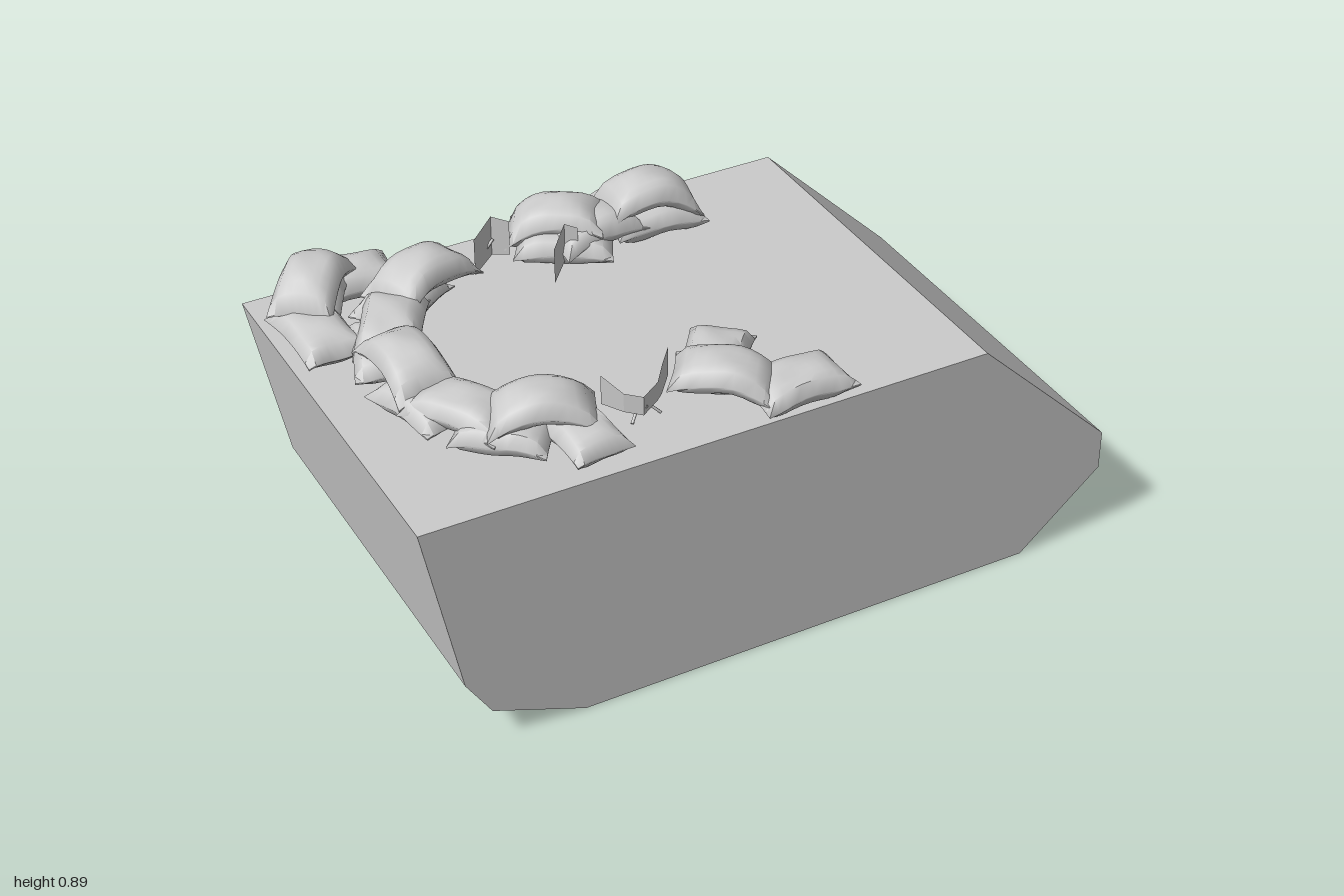
import * as THREE from 'three';
import { toCreasedNormals } from 'three/addons/utils/BufferGeometryUtils.js';

const DECK = 0.715;
const grey = new THREE.MeshStandardMaterial({ color: 0xcccccc });
const greyThin = new THREE.MeshStandardMaterial({ color: 0xcccccc, side: THREE.DoubleSide });

// Solid block with chamfered ends, extruded across z
function makeHull() {
  const profile = [[-1, DECK], [-0.9, 0.21], [-0.83, 0.1], [-0.57, 0],
    [0.76, 0], [1, 0.21], [1, 0.325], [0.6, DECK]];
  const shape = new THREE.Shape(profile.map(([x, y]) => new THREE.Vector2(x, y)));
  const geo = new THREE.ExtrudeGeometry(shape, { depth: 1.13, bevelEnabled: false });
  geo.translate(0, 0, -0.575);
  const mesh = new THREE.Mesh(geo, grey);
  mesh.name = 'hull';
  return mesh;
}

// Pillow: a flattened box, fat in the middle, pinched at the seams and arched by sag
function bagGeometry(length, width, sag, seed) {
  const geo = new THREE.BoxGeometry(2, 2, 2, 10, 1, 8);
  const p = geo.attributes.position;
  for (let i = 0; i < p.count; i++) {
    const u = p.getX(i), side = p.getY(i), v = p.getZ(i);
    const puff = Math.sqrt(1 - u ** 4) * Math.sqrt(1 - v ** 4);
    const wrinkle = 0.004 * Math.sin(5 * u + seed * 2.1) * Math.cos(4 * v + seed);
    const flare = 0.93 + 0.07 * u * u;                // corners stick out as ears
    p.setXYZ(i,
      u * length / 2 * (0.96 + 0.04 * v * v),
      side * (0.002 + 0.0375 * puff) + wrinkle - sag * (u * u + 0.25 * v * v),
      v * width / 2 * flare);
  }
  return geo;
}

// Places a bag turned about y; higher bags drape more, and none sinks into the deck
function makeBag(name, x, y, z, turn, pitch = 0, length = 0.27, width = 0.175) {
  const sag = THREE.MathUtils.clamp((y - 0.745) * 0.52, 0.01, 0.055);
  const geo = bagGeometry(length, width, sag, 10 * (x + z));
  geo.rotateZ(pitch);
  geo.rotateY(turn);
  geo.translate(x, y, z);
  const p = geo.attributes.position;
  for (let k = 0; k < p.count; k++) p.setY(k, Math.max(p.getY(k), DECK + 0.004));
  const mesh = new THREE.Mesh(toCreasedNormals(geo, 0.8), grey);
  mesh.name = name;
  return mesh;
}

// Curved breastwork: two courses of bags along an elliptical arc open towards +x
function makeRing() {
  const group = new THREE.Group();
  group.name = 'breastwork';
  const lay = (name, angle, y, scale, length) => {
    const rx = 0.29 * scale, rz = 0.36 * scale;
    const turn = Math.atan2(-rz * Math.cos(angle), rx * Math.sin(angle));
    group.add(makeBag(name, -0.49 - rx * Math.cos(angle), y, rz * Math.sin(angle), turn, 0, length));
  };
  for (let i = 0; i < 4; i++) lay('lowerRingBag', -1.05 + i * 0.68, 0.762, 1.07, 0.25);
  for (let i = 0; i < 5; i++) lay('upperRingBag', -1.25 + i * 0.635, i % 2 ? 0.79 : 0.84, 1, 0.285);
  group.add(makeBag('ringEndBag', -0.5, 0.765, 0.42, 1.67, 0, 0.23, 0.165));
  return group;
}

// Loose pile: every row is x, y, z, turn and an optional pitch
function makePile(name, rows) {
  const group = new THREE.Group();
  group.name = name;
  for (const row of rows) group.add(makeBag('sandbag', ...row));
  return group;
}

// Upright sheet folded along a path of [x, z, bottom, top]
function foldedSheet(name, path) {
  const pos = [];
  for (let i = 0; i + 1 < path.length; i++) {
    const [x0, z0, b0, t0] = path[i], [x1, z1, b1, t1] = path[i + 1];
    pos.push(x0, b0, z0, x1, b1, z1, x1, t1, z1, x0, b0, z0, x1, t1, z1, x0, t0, z0);
  }
  const geo = new THREE.BufferGeometry();
  geo.setAttribute('position', new THREE.Float32BufferAttribute(pos, 3));
  geo.computeVertexNormals();
  const mesh = new THREE.Mesh(geo, greyThin);
  mesh.name = name;
  return mesh;
}

// Thin rod between two points
function rod(name, a, b) {
  const curve = new THREE.LineCurve3(new THREE.Vector3(...a), new THREE.Vector3(...b));
  const mesh = new THREE.Mesh(new THREE.TubeGeometry(curve, 1, 0.004, 6), greyThin);
  mesh.name = name;
  return mesh;
}

function makeShields() {
  const group = new THREE.Group();
  group.name = 'shields';
  // Notched shield on a small tripod
  group.add(foldedSheet('notchedShield', [
    [-0.41, 0.35, 0.77, 0.855], [-0.37, 0.395, 0.76, 0.815], [-0.33, 0.425, 0.755, 0.81],
    [-0.27, 0.385, 0.755, 0.81], [-0.25, 0.37, 0.76, 0.845], [-0.2, 0.31, 0.765, 0.85]]));
  const hub = [-0.31, 0.765, 0.37];
  for (let i = 0; i < 3; i++) {
    const a = i * Math.PI * 2 / 3 + 0.4;
    group.add(rod('tripodLeg', hub,
      [hub[0] + 0.05 * Math.cos(a), DECK + 0.005, hub[2] + 0.05 * Math.sin(a)]));
  }
  group.add(rod('shieldBracket', hub, [-0.32, 0.775, 0.42]));
  // Pair of leaning folded plates behind
  group.add(foldedSheet('backPlate', [
    [-0.41, -0.385, 0.73, 0.84], [-0.33, -0.45, 0.735, 0.855], [-0.29, -0.42, 0.74, 0.845]]));
  group.add(foldedSheet('innerPlate', [
    [-0.24, -0.25, 0.73, 0.835], [-0.17, -0.33, 0.735, 0.85], [-0.14, -0.31, 0.74, 0.84]]));
  group.add(rod('plateBrace', [-0.4, DECK + 0.005, -0.43], [-0.33, 0.79, -0.44]));
  return group;
}

export function createModel() {
  const model = new THREE.Group();
  model.name = 'sandbagPosition';
  model.add(makeHull(), makeRing(), makeShields());
  model.add(makePile('cornerPile', [
    [-0.73, 0.765, -0.49, 0], [-0.9, 0.765, -0.29, -1.52],
    [-0.84, 0.79, -0.45, 1.01], [-0.85, 0.853, -0.43, 0.9]]));
  model.add(makePile('frontPile', [
    [-0.06, 0.765, 0.3, 0.9], [0.075, 0.76, 0.48, 0.04], [-0.09, 0.81, 0.41, -0.63, -0.1]]));
  model.add(makePile('backPile', [
    [0.13, 0.76, -0.4, -0.05], [-0.14, 0.758, -0.39, -0.51], [-0.06, 0.79, -0.39, 0.15],
    [-0.15, 0.825, -0.44, -0.53, 0.15], [0.125, 0.85, -0.405, -0.08, -0.1]]));
  return model;
}
